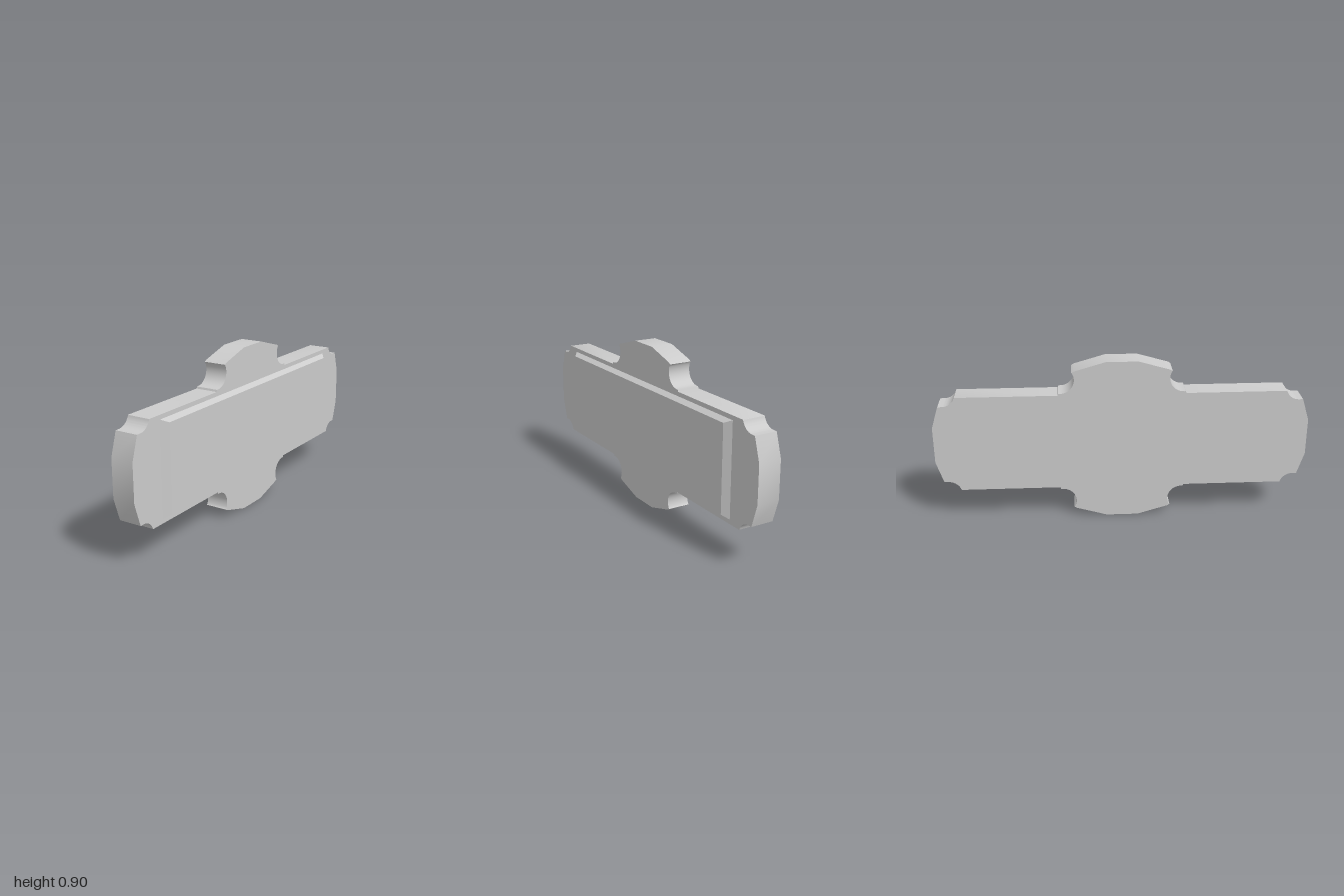
import * as THREE from 'three';
import { toCreasedNormals } from 'three/addons/utils/BufferGeometryUtils.js';

const CENTRE_Y = 0.45;

// Points along a circular cove, angles in degrees
function cove(cx, cy, r, from, to, steps = 14) {
  return Array.from({ length: steps + 1 }, (_, i) => {
    const a = THREE.MathUtils.degToRad(from + (to - from) * i / steps);
    return [cx + r * Math.cos(a), cy + r * Math.sin(a)];
  });
}

// Plaque outline: one quarter, mirrored into a full loop
function plaqueShape() {
  const quarter = [
    [1, 0.1], [0.962, 0.22],
    ...cove(0.94, 0.29, 0.07, 270, 197),   // corner notch
    [0.872, 0.27], [0.338, 0.27], [0.334, 0.28],
    ...cove(0.325, 0.355, 0.075, 270, 152), // notch beside the centre lobe
    [0.263, 0.394], [0.25, 0.402], [0.085, 0.45],
  ];
  const flip = (pts, sx, sy) => pts.map(([x, y]) => [x * sx, y * sy]);
  const back = [...quarter].reverse();
  const loop = [...quarter, ...flip(back, -1, 1), ...flip(quarter, -1, -1), ...flip(back, 1, -1)];
  return new THREE.Shape(loop.map(([x, y]) => new THREE.Vector2(x, y)));
}

export function createModel() {
  const group = new THREE.Group();
  const material = new THREE.MeshStandardMaterial({ color: 0xcccccc });

  // Thick plate, extruded across x
  const plateGeo = new THREE.ExtrudeGeometry(plaqueShape(), { depth: 0.123, bevelEnabled: false });
  plateGeo.rotateY(Math.PI / 2).translate(-0.075, CENTRE_Y, 0);
  const plate = new THREE.Mesh(toCreasedNormals(plateGeo, 0.5), material);
  plate.name = 'plate';
  group.add(plate);

  // Raised panel: a box whose outer face is drawn in to slope the edges
  const panelGeo = new THREE.BoxGeometry(0.027, 0.494, 1.594);
  const pos = panelGeo.attributes.position;
  for (let i = 0; i < pos.count; i++) {
    if (pos.getX(i) > 0) {
      pos.setY(i, Math.sign(pos.getY(i)) * 0.229);
      pos.setZ(i, Math.sign(pos.getZ(i)) * 0.761);
    }
  }
  panelGeo.computeVertexNormals();
  const panel = new THREE.Mesh(panelGeo, material);
  panel.name = 'raisedPanel';
  panel.position.set(0.0615, CENTRE_Y, 0);
  group.add(panel);

  return group;
}
